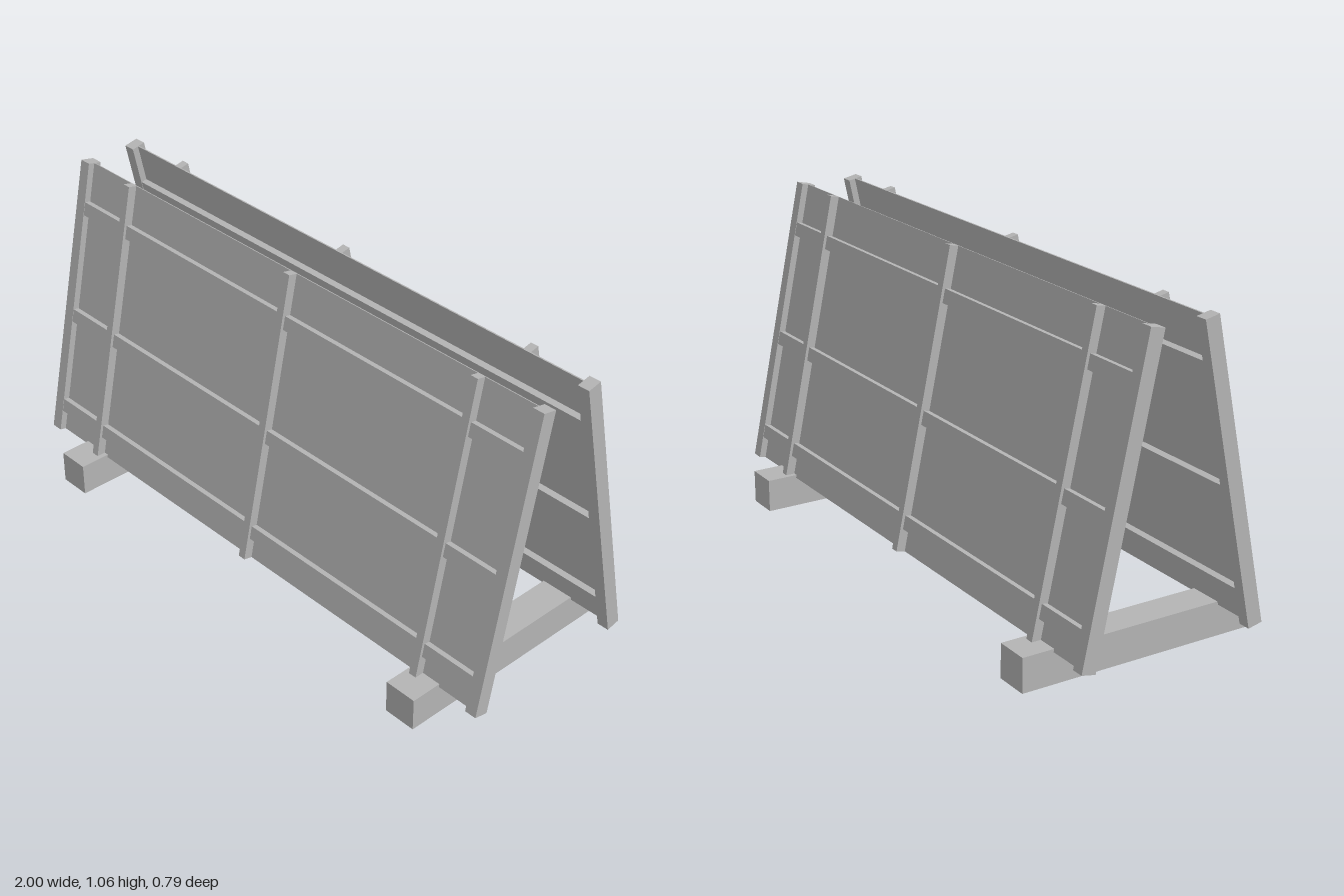
import * as THREE from 'three';

export function createModel() {
  const model = new THREE.Group();
  model.name = 'leaningBarrier';
  const grey = new THREE.MeshStandardMaterial({ color: 0xb4b4b4 });
  grey.name = 'plainGrey';

  const addBox = (parent, name, size, pos) => {
    const mesh = new THREE.Mesh(new THREE.BoxGeometry(...size), grey);
    mesh.name = name;
    mesh.position.set(...pos);
    parent.add(mesh);
  };

  const bottom = { y: 0.1, z: 0.29 };
  const top = { y: 1.05, z: 0.09 };
  const length = Math.hypot(top.y - bottom.y, top.z - bottom.z);
  const lean = Math.atan2(top.z - bottom.z, top.y - bottom.y);

  // One leaning framed panel; local +z points outwards
  const makePanel = (name) => {
    const side = new THREE.Group();
    side.name = name;
    const frame = new THREE.Group();
    frame.name = 'frame';
    frame.position.set(0, (top.y + bottom.y) / 2, (top.z + bottom.z) / 2);
    frame.rotation.x = lean;
    side.add(frame);

    addBox(frame, 'sheet', [1.94, length, 0.004], [0, 0, 0]);
    // Rails pass through the sheet and show on both faces
    for (const y of [0.33, -0.053, -0.39]) {
      addBox(frame, 'rail', [1.92, 0.045, 0.045], [0, y, 0]);
    }
    // Outer battens lie on the outside only
    for (const x of [-0.755, 0, 0.755]) {
      addBox(frame, 'batten', [0.027, length, 0.032], [x, 0, 0.016]);
    }
    for (const x of [-0.98, 0.98]) {
      addBox(frame, 'endPost', [0.04, length, 0.048], [x, 0, 0]);
    }
    return side;
  };

  const front = makePanel('frontPanel');
  const back = makePanel('backPanel');
  back.rotation.y = Math.PI;
  model.add(front, back);

  // Ground beams that carry both panels
  for (const x of [-0.78, 0.78]) {
    addBox(model, 'groundBeam', [0.11, 0.11, 0.79], [x, 0.055, 0]);
  }
  return model;
}
